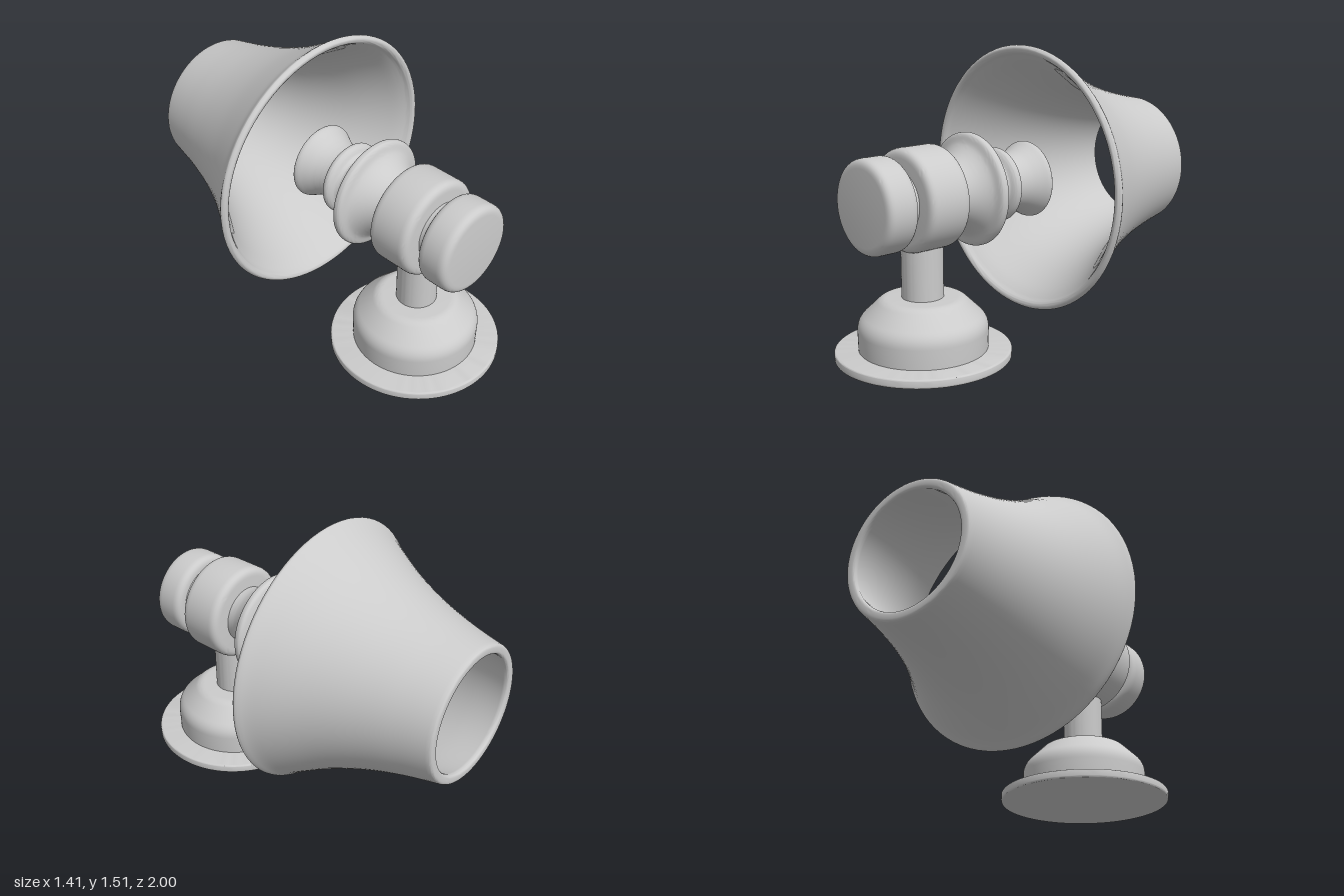
import * as THREE from 'three';
import { toCreasedNormals } from 'three/addons/utils/BufferGeometryUtils.js';

const AXIS_Y = 0.81; // height of the horizontal arm
const BASE_Z = 0.555; // centre of the standing base
const material = new THREE.MeshStandardMaterial({ color: 0xcccccc });

// Profile of [radius, height, fillet] corners, each optionally rounded off
function roundedProfile(corners) {
  const out = [];
  corners.forEach(([r, h, fillet = 0], i) => {
    const p = new THREE.Vector2(r, h);
    if (!fillet) return out.push(p);
    const toward = ([a, b]) => {
      const d = new THREE.Vector2(a, b).sub(p);
      return d.setLength(Math.min(fillet, d.length() * 0.5)).add(p);
    };
    const n = corners.length;
    const curve = new THREE.QuadraticBezierCurve(
      toward(corners[(i + n - 1) % n]), p, toward(corners[(i + 1) % n]));
    out.push(...curve.getPoints(6));
  });
  return out;
}

// Smooth curve through [radius, height] points
function splineProfile(points, divisions) {
  return new THREE.SplineCurve(points.map(([r, h]) => new THREE.Vector2(r, h))).getPoints(divisions);
}

function turned(name, profile) {
  const geometry = toCreasedNormals(new THREE.LatheGeometry(profile, 80), 0.6);
  const mesh = new THREE.Mesh(geometry, material);
  mesh.name = name;
  return mesh;
}

export function createModel() {
  const model = new THREE.Group();
  model.name = 'wallLamp';

  // Round base, stepped hub and upright stem
  const stand = new THREE.Group();
  stand.name = 'stand';
  stand.position.z = BASE_Z;
  stand.add(
    turned('basePlate', roundedProfile([
      [0, 0], [0.445, 0, 0.012], [0.445, 0.046, 0.012], [0, 0.046]])),
    turned('baseHub', roundedProfile([
      [0, 0.04], [0.325, 0.04], [0.329, 0.19, 0.045], [0.205, 0.31, 0.03], [0, 0.31]])),
    turned('stem', roundedProfile([[0, 0.28], [0.105, 0.28], [0.105, 0.65], [0, 0.65]])));
  model.add(stand);

  // Turned arm and shade: profile height runs along z
  const arm = new THREE.Group();
  arm.name = 'arm';
  arm.position.y = AXIS_Y;
  arm.rotation.x = Math.PI / 2;
  arm.add(
    turned('endKnob', roundedProfile([
      [0, 0.73], [0.235, 0.73, 0.045], [0.235, 0.902, 0.045], [0, 0.902]])),
    turned('knobNeck', splineProfile([
      [0.155, 0.66], [0.155, 0.695], [0.165, 0.715], [0.19, 0.74]], 12)),
    turned('collar', roundedProfile([
      [0, 0.44], [0.258, 0.44, 0.045], [0.258, 0.68, 0.045], [0, 0.68]])),
    turned('flangedSpindle', splineProfile([
      [0.145, 0.11], [0.147, 0.13], [0.153, 0.17], [0.178, 0.2], [0.235, 0.215],
      [0.28, 0.23], [0.29, 0.25], [0.28, 0.272], [0.235, 0.29], [0.195, 0.33],
      [0.165, 0.38], [0.154, 0.42], [0.152, 0.47]], 64)),
    turned('ring', splineProfile([
      [0.143, 0.025], [0.15, 0.042], [0.175, 0.052], [0.19, 0.064], [0.191, 0.085],
      [0.177, 0.1], [0.155, 0.112], [0.146, 0.13]], 36)),
    turned('lampCup', [
      new THREE.Vector2(0, -0.155),
      ...splineProfile([
        [0.18, -0.155], [0.198, -0.145], [0.197, -0.125], [0.178, -0.09],
        [0.157, -0.045], [0.145, 0], [0.143, 0.03]], 32)]));

  // Flared shade, open at both ends, with a wall thickness
  const outer = [[0.36, -0.985], [0.4, -0.8], [0.459, -0.6], [0.541, -0.4], [0.65, -0.2], [0.695, -0.135]];
  const inner = [[0.655, -0.125], [0.603, -0.2], [0.492, -0.4], [0.409, -0.6], [0.348, -0.8], [0.307, -0.985]];
  const rim = splineProfile([[0.695, -0.135], [0.704, -0.118], [0.69, -0.1], [0.668, -0.105], [0.655, -0.125]], 16);
  const backEdge = splineProfile([[0.307, -0.985], [0.316, -0.999], [0.35, -0.999], [0.36, -0.985]], 12);
  arm.add(turned('shade', [
    ...splineProfile(outer, 40), ...rim.slice(1), ...splineProfile(inner, 40).slice(1), ...backEdge.slice(1)]));
  model.add(arm);

  return model;
}
